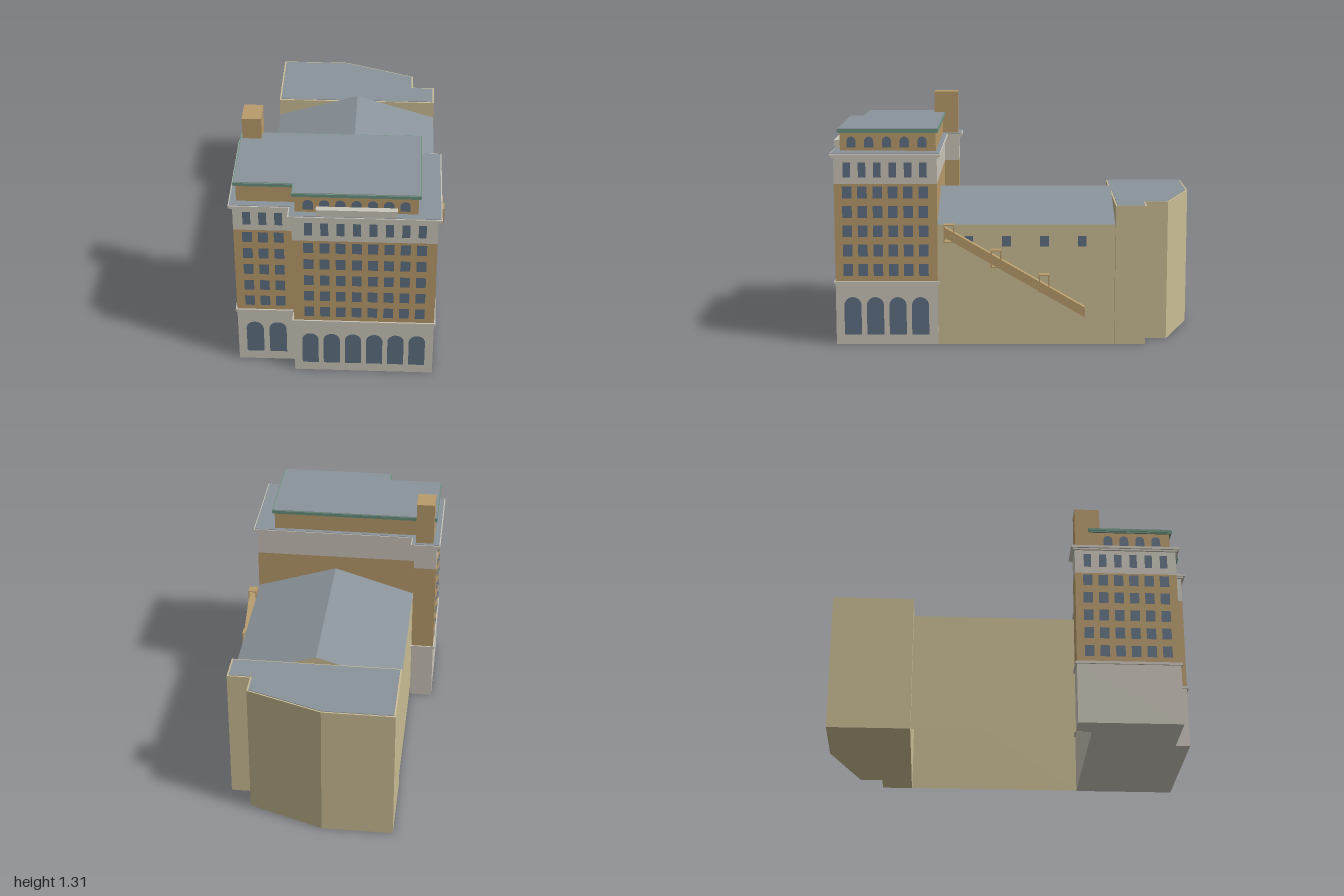
import * as THREE from 'three';
import { mergeGeometries } from 'three/addons/utils/BufferGeometryUtils.js';

const mat = (name, color, side = THREE.FrontSide) =>
  new THREE.MeshStandardMaterial({ name, color, side });

export function createModel() {
  const stone = mat('stone', 0xcac5ba);
  const brick = mat('brick', 0xb89b6b);
  const glass = mat('glass', 0x5f7083);
  const slate = mat('slate roof', 0x8b949b, THREE.DoubleSide);
  const plaster = mat('pale plaster', 0xcabd95, THREE.DoubleSide);
  const copper = mat('green copper', 0x6c917f);

  const model = new THREE.Group();
  const add = (name, geometry, material, parent = model) => {
    const mesh = new THREE.Mesh(geometry, material);
    mesh.name = name;
    parent.add(mesh);
    return mesh;
  };
  const box = (name, x0, x1, y0, y1, z0, z1, material, parent) => {
    const g = new THREE.BoxGeometry(x1 - x0, y1 - y0, z1 - z0);
    g.translate((x0 + x1) / 2, (y0 + y1) / 2, (z0 + z1) / 2);
    return add(name, g, material, parent);
  };

  // Footprint [x, z] grown by d (mitred) and raised from y0 to y1
  const slab = (name, plan, d, y0, y1, material) => {
    let pts = plan.map(([x, z]) => new THREE.Vector2(x, -z));
    if (THREE.ShapeUtils.area(pts) < 0) pts.reverse();
    const n = pts.length;
    const normal = (a, b) => new THREE.Vector2(b.y - a.y, a.x - b.x).normalize();
    pts = pts.map((p, i) => {
      const n1 = normal(pts[(i + n - 1) % n], p), n2 = normal(p, pts[(i + 1) % n]);
      return p.clone().addScaledVector(n1.clone().add(n2), d / (1 + n1.dot(n2)));
    });
    const g = new THREE.ExtrudeGeometry(new THREE.Shape(pts), { depth: y1 - y0, bevelEnabled: false });
    g.rotateX(-Math.PI / 2).translate(0, y0, 0);
    return add(name, g, material);
  };

  // Tower: stacked bands over one stepped footprint
  const tower = [[-0.55, 0.335], [-0.42, 0.335], [-0.42, 0.42], [0.515, 0.42],
    [0.515, 0.98], [-0.237, 0.98], [-0.237, 0.9], [-0.55, 0.9]];
  slab('stoneBase', tower, 0, 0, 0.342, stone);
  slab('beltCourse', tower, 0.008, 0.342, 0.357, stone);
  slab('brickFloors', tower, 0, 0.357, 0.895, brick);
  slab('stoneTopFloor', tower, 0, 0.895, 1.037, stone);
  slab('corniceLower', tower, 0.011, 1.037, 1.046, stone);
  slab('corniceUpper', tower, 0.02, 1.046, 1.06, stone);
  slab('terraceRoof', tower, 0.014, 1.06, 1.063, slate);

  // Penthouse with copper edge
  const attic = [[-0.53, 0.43], [0.412, 0.43], [0.412, 0.955],
    [-0.222, 0.955], [-0.222, 0.873], [-0.53, 0.873]];
  slab('penthouse', attic, 0, 1.063, 1.162, brick);
  slab('copperCorniceLower', attic, 0.009, 1.162, 1.169, copper);
  slab('copperCornice', attic, 0.014, 1.169, 1.184, copper);
  slab('penthouseRoof', attic, 0.008, 1.184, 1.187, slate);
  box('chimney', -0.53, -0.427, 1.05, 1.31, 0.34, 0.48, brick);
  box('parapetPanel', -0.105, 0.3, 1.06, 1.076, 0.972, 0.992, stone);
  box('parapetPanelCap', -0.111, 0.306, 1.076, 1.108, 0.968, 1.0, stone);

  // Windows: flat panes set just off each wall
  const panes = [];
  const pane = (side, along, wall, y0, w, h, arched) => {
    const s = new THREE.Shape();
    s.moveTo(-w / 2, 0).lineTo(w / 2, 0);
    if (arched) s.lineTo(w / 2, h - w / 2).absarc(0, h - w / 2, w / 2, 0, Math.PI, false);
    else s.lineTo(w / 2, h).lineTo(-w / 2, h);
    const g = new THREE.ShapeGeometry(s, 10);
    if (side === 'front') g.translate(along, y0, wall + 0.003);
    if (side === 'left') g.rotateY(Math.PI / 2).translate(wall + 0.003, y0, along);
    if (side === 'right') g.rotateY(-Math.PI / 2).translate(wall - 0.003, y0, along);
    panes.push(g);
  };
  const row = (count, start, step, fn) => {
    for (let i = 0; i < count; i++) fn(start + i * step);
  };
  const floors = (side, wall, count, start, step) => row(count, start, step, (a) => {
    for (let f = 0; f < 5; f++) pane(side, a, wall, 0.387 + f * 0.1075, 0.052, 0.066);
    pane(side, a, wall, 0.932, 0.041, 0.08);
  });
  floors('front', 0.98, 8, -0.153, 0.0842);
  floors('front', 0.9, 3, -0.478, 0.083);
  floors('left', 0.515, 6, 0.495, 0.083);
  floors('right', -0.55, 6, 0.405, 0.085);
  row(6, -0.15, 0.1153, (a) => pane('front', a, 0.98, 0.057, 0.088, 0.207, true));
  row(2, -0.457, 0.125, (a) => pane('front', a, 0.9, 0.057, 0.094, 0.21, true));
  row(4, 0.516, 0.1237, (a) => pane('left', a, 0.515, 0.057, 0.094, 0.21, true));
  row(7, -0.153, 0.083, (a) => pane('front', a, 0.955, 1.081, 0.052, 0.06, true));
  row(5, 0.505, 0.097, (a) => pane('left', a, 0.412, 1.081, 0.05, 0.06, true));
  row(4, 0.51, 0.095, (a) => pane('right', -0.53, a, 0, 0, 0) || panes.pop());
  row(4, 0.525, 0.09, (a) => pane('right', a, -0.53, 1.081, 0.05, 0.06, true));
  row(4, -0.37, 0.2065, (a) => pane('left', a, 0.51, 0.55, 0.048, 0.058));
  add('windows', mergeGeometries(panes), glass);

  // Hall: open shell under a gabled roof
  const zA = 0.42, zB = -0.55;
  const strip = ([px, py], [qx, qy]) => {
    const g = new THREE.BufferGeometry();
    g.setAttribute('position', new THREE.Float32BufferAttribute(
      [px, py, zA, px, py, zB, qx, qy, zB, qx, qy, zA], 3));
    g.setIndex([0, 1, 2, 0, 2, 3]);
    g.computeVertexNormals();
    return g;
  };
  const hall = [[0.51, 0], [0.51, 0.672], [0.05, 0.815], [-0.415, 0.672], [-0.415, 0]];
  const hallParts = ['hallLeftWall', 'hallRoofLeft', 'hallRoofRight', 'hallRightWall'];
  hallParts.forEach((name, i) =>
    add(name, strip(hall[i], hall[i + 1]), i % 3 ? slate : plaster));
  const gable = new THREE.ShapeGeometry(new THREE.Shape(hall.map(([x, y]) => new THREE.Vector2(-x, y))));
  add('hallRearGable', gable.rotateY(Math.PI).translate(0, 0, zB), plaster);

  // Rear block with chamfered and notched corner
  const rear = [[-0.42, -1], [-0.03, -1], [0.385, -0.848], [0.385, -0.722],
    [0.513, -0.722], [0.513, -0.552], [-0.42, -0.552]];
  slab('rearBlock', rear, 0, 0, 0.775, plaster);
  slab('rearRoof', rear, -0.009, 0.775, 0.778, slate);

  // Fire escape: sloping flight with three open cages
  const escape = new THREE.Group();
  escape.name = 'fireEscape';
  model.add(escape);
  const flight = new THREE.Shape([[-0.38, 0.665], [-0.38, 0.61], [0.385, 0.165], [0.385, 0.22]]
    .map(([a, y]) => new THREE.Vector2(a, y)));
  const flightGeo = new THREE.ExtrudeGeometry(flight, { depth: 0.044, bevelEnabled: false });
  add('stairFlight', flightGeo.rotateY(Math.PI / 2).translate(0.521, 0, 0), brick, escape);
  [[0.355, 0.58], [0.1, 0.441], [-0.162, 0.304]].forEach(([z, y]) => {
    const x0 = 0.519, x1 = 0.567, t = 0.006, z0 = z - 0.029, z1 = z + 0.029, y1 = y + 0.098;
    box('landingFloor', x0, x1, y, y + t, z0, z1, brick, escape);
    box('landingTop', x0, x1, y1 - t, y1, z0, z1, brick, escape);
    for (const px of [x0, x1 - t]) for (const pz of [z0, z1 - t])
      box('landingPost', px, px + t, y + t, y1 - t, pz, pz + t, brick, escape);
  });

  return model;
}
